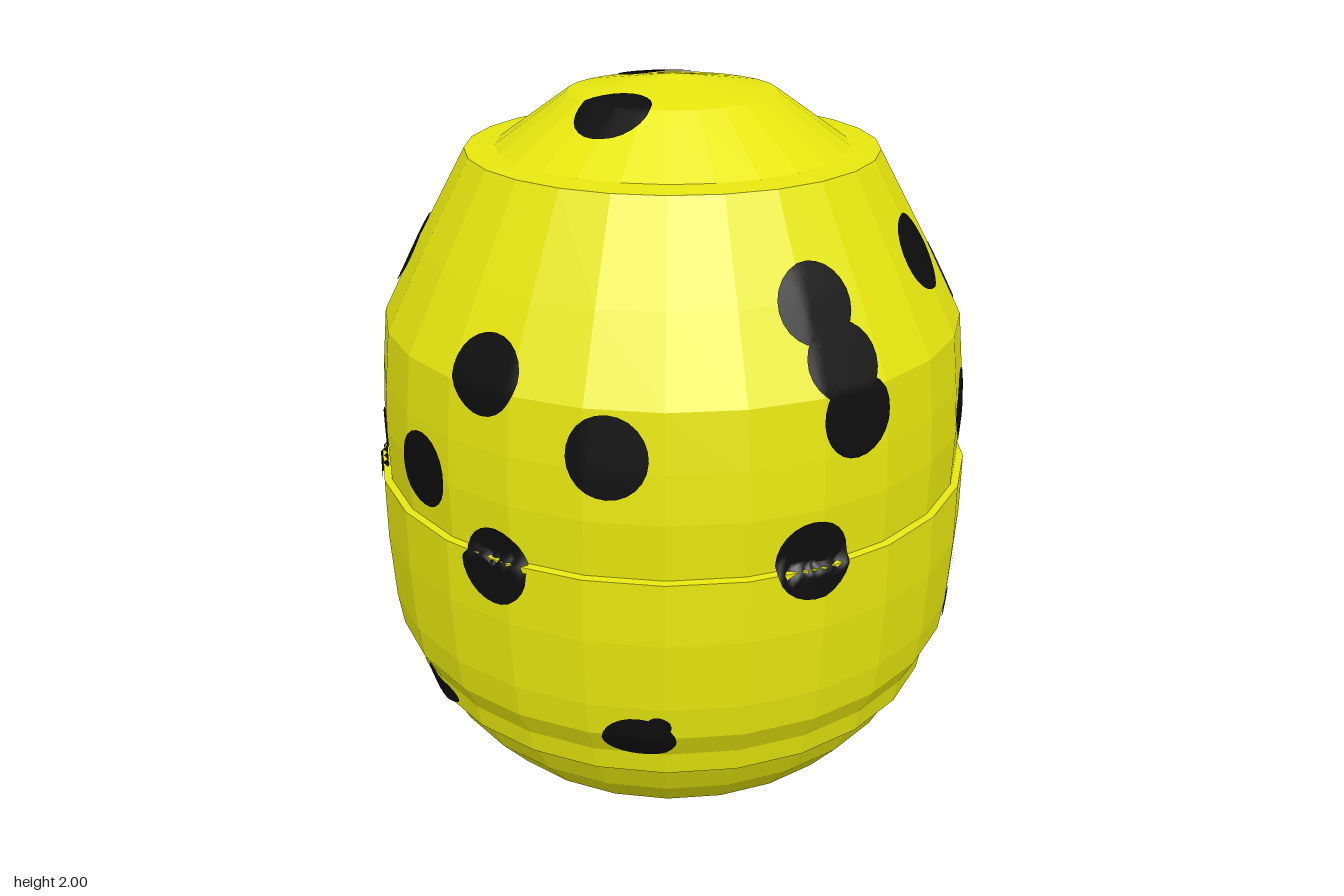
import * as THREE from 'three';

const SIDES = 26;
const STEP = (Math.PI * 2) / SIDES;
const CORE = new THREE.Vector3(0, 1, 0);
const SPOT_RADIUS = 0.094;

// Egg outline [radius, height], from the foot to the tip, with small ledges
const PROFILE = [
  [0, 0], [0.15, 0], [0.165, 0.02], [0.27, 0.022], [0.37, 0.105], [0.40, 0.12],
  [0.55, 0.25], [0.575, 0.252], [0.655, 0.35], [0.705, 0.45], [0.72, 0.452],
  [0.73, 0.515], [0.768, 0.59], [0.78, 0.68], [0.787, 0.86], [0.784, 1.02],
  [0.765, 1.022], [0.766, 1.16], [0.757, 1.28], [0.74, 1.42], [0.64, 1.61],
  [0.515, 1.83], [0.44, 1.835], [0.26, 1.96], [0.13, 1.98], [0, 2],
];

// Round spots [degrees around from the front, height]
const ROUND_SPOTS = [
  [-13, 1.45], [11, 1.31], [-29, 1.16], [-10, 1], // front
  [51, 1.6], [54, 1.48], [55.5, 1.36], // joined spots on the shoulder
  [46.5, 1.04], [90, 1.62], [96, 1.21], [119.5, 1.47], [142, 1.185], [129.5, 0.37], // left
  [174, 1.59], [176, 1], [-142, 1.755], [-123.5, 1.4], [-155.5, 0.32], // back
  [-66, 1.57], [-61, 1.05], [-95, 0.87], // right
  [-138, 1.98], [-9.5, 1.955], // tip
  [-25.5, 0.105], [36, 0.11], [140.5, 0.045], [-125.5, 0.175], // underside
];

// Partial spots beside the ledges [degrees, height, half width, half height]
const PARTIAL_SPOTS = [
  [16, 0.58, 0.09, 0.07], [19.6, 0.63, 0.03, 0.03], [-35.5, 0.482, 0.095, 0.029],
  [96, 0.755, 0.06, 0.022], [96, 0.628, 0.065, 0.025],
  [139, 0.765, 0.085, 0.048], [142, 0.7, 0.035, 0.06], [129, 0.485, 0.08, 0.025],
  [175.5, 0.57, 0.085, 0.055], [176, 0.485, 0.045, 0.02],
];

// Shell radius at a height
function radiusAt(y) {
  const i = PROFILE.findIndex((p) => p[1] > y);
  const [r0, y0] = PROFILE[i - 1];
  const [r1, y1] = PROFILE[i];
  return r0 + ((r1 - r0) * (y - y0)) / (y1 - y0);
}

// Push a point along its ray from the core onto the faceted shell, plus a small lift
function ontoShell(point, lift) {
  const d = point.clone().sub(CORE).normalize();
  const theta = Math.atan2(d.x, d.z);
  const mid = Math.round(theta / STEP) * STEP;
  const q = Math.hypot(d.x, d.z) * Math.cos(theta - mid);
  const c = Math.cos(STEP / 2);
  let reach = 0;
  for (let i = 0; i < PROFILE.length - 1; i++) {
    const ax = PROFILE[i][0] * c, ay = PROFILE[i][1] - 1;
    const ex = PROFILE[i + 1][0] * c - ax, ey = PROFILE[i + 1][1] - 1 - ay;
    const det = q * ey - d.y * ex;
    if (Math.abs(det) < 1e-9) continue;
    const t = (ax * ey - ay * ex) / det;
    const s = (ax * d.y - ay * q) / det;
    if (s >= -1e-6 && s <= 1 + 1e-6) reach = Math.max(reach, t);
  }
  return d.multiplyScalar(reach + lift).add(CORE);
}

// Thin oval patch that follows the shell
function spotGeometry([degrees, y, halfWidth = SPOT_RADIUS, halfHeight = SPOT_RADIUS]) {
  const rings = 7, around = 24;
  const centre = new THREE.Vector3()
    .setFromCylindricalCoords(radiusAt(y), THREE.MathUtils.degToRad(degrees), y);
  const out = centre.clone().sub(CORE).normalize();
  const across = new THREE.Vector3(0, 1, 0).cross(out).normalize();
  const up = out.clone().cross(across);
  const positions = [], index = [];
  for (let r = 0; r <= rings; r++) {
    for (let a = 0; a < around; a++) {
      const angle = (a / around) * Math.PI * 2;
      const p = centre.clone()
        .addScaledVector(across, (Math.cos(angle) * halfWidth * r) / rings)
        .addScaledVector(up, (Math.sin(angle) * halfHeight * r) / rings);
      positions.push(...ontoShell(p, 0.005).toArray());
      if (r === rings) continue;
      const i = r * around + a, j = r * around + ((a + 1) % around);
      index.push(i, i + around, j + around);
      if (r > 0) index.push(i, j + around, j);
    }
  }
  const geometry = new THREE.BufferGeometry();
  geometry.setAttribute('position', new THREE.Float32BufferAttribute(positions, 3));
  geometry.setIndex(index);
  geometry.computeVertexNormals();
  return geometry;
}

export function createModel() {
  const yellow = new THREE.MeshStandardMaterial({ color: 0xe6e60f, flatShading: true });
  yellow.name = 'yellow shell';
  const black = new THREE.MeshStandardMaterial({ color: 0x0d0d0d, side: THREE.DoubleSide });
  black.name = 'black spots';

  const model = new THREE.Group();
  model.name = 'spottedEgg';

  // Shell
  const outline = PROFILE.map(([r, y]) => new THREE.Vector2(r, y));
  const shell = new THREE.Mesh(new THREE.LatheGeometry(outline, SIDES, STEP / 2), yellow);
  shell.name = 'shell';
  model.add(shell);

  // Spots
  const spots = new THREE.Group();
  spots.name = 'spots';
  [...ROUND_SPOTS, ...PARTIAL_SPOTS].forEach((spot, i) => {
    const mesh = new THREE.Mesh(spotGeometry(spot), black);
    mesh.name = `spot${i + 1}`;
    spots.add(mesh);
  });
  model.add(spots);
  return model;
}
